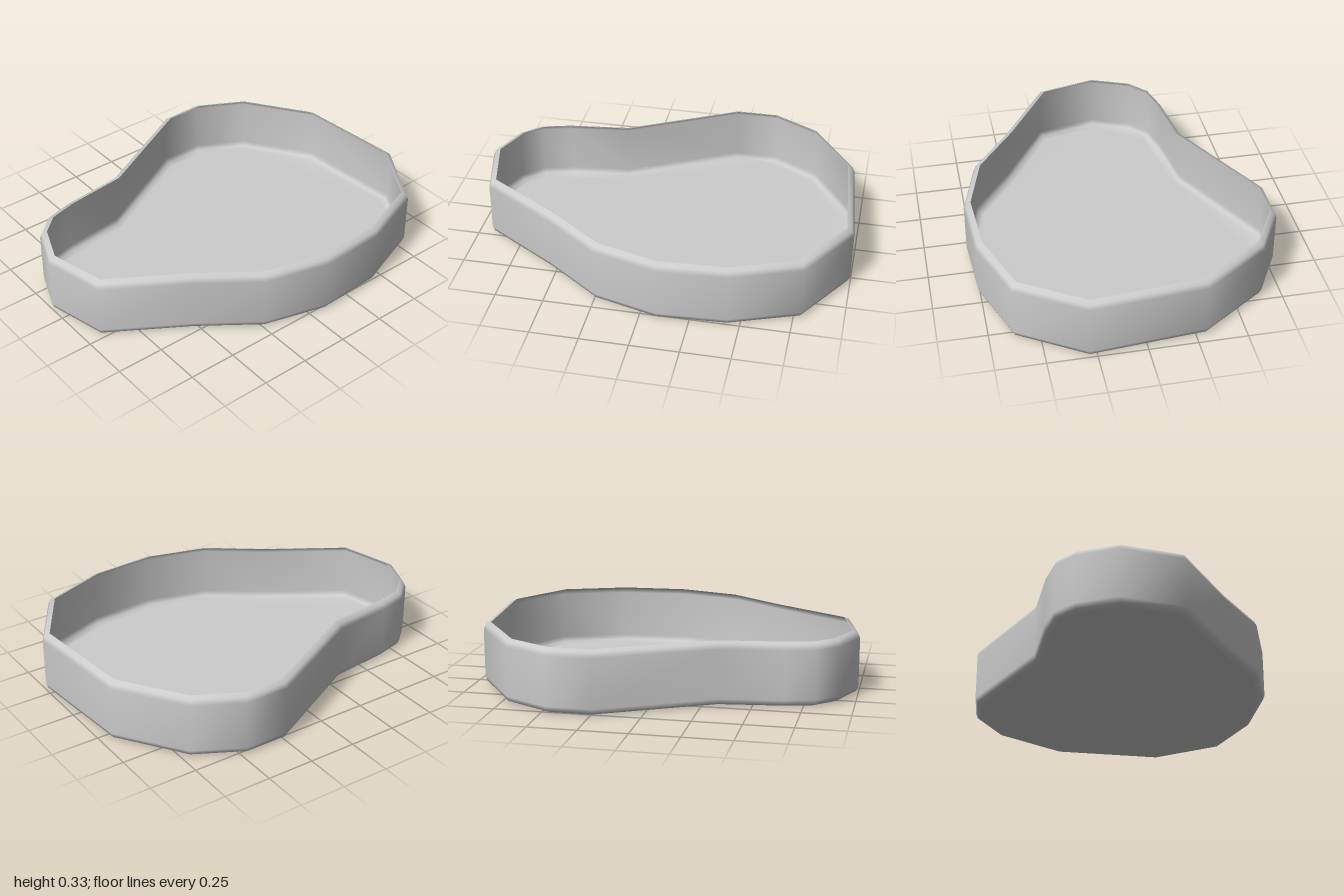
import * as THREE from 'three';

// Plan outline as [x, z], running clockwise seen from above
const OUTLINE = [
  [0.29, -1.0], [0.63, -0.79], [0.76, -0.44], [0.78, -0.085],
  [0.69, 0.245], [0.48, 0.53], [0.23, 0.925], [-0.09, 1.0],
  [-0.3, 0.915], [-0.395, 0.81], [-0.435, 0.655], [-0.475, 0.335],
  [-0.78, -0.24], [-0.78, -0.47], [-0.647, -0.715], [-0.303, -0.95],
].map(([x, z]) => new THREE.Vector2(x, z));

// Wall section from floor edge to rim as [inset, height]
const SECTION = [
  [0.037, 0], [0.011, 0.011], [0, 0.037],
  [0, 0.293], [0.011, 0.319], [0.037, 0.33],
];

// Move every outline corner inwards by the same wall distance (mitred)
function insetOutline(points, inset) {
  const n = points.length;
  const normal = (a, b) => new THREE.Vector2(b.y - a.y, a.x - b.x).normalize();
  return points.map((p, i) => {
    const n1 = normal(points[(i + n - 1) % n], p);
    const n2 = normal(p, points[(i + 1) % n]);
    const miter = n1.clone().add(n2).divideScalar(1 + n1.dot(n2));
    return p.clone().addScaledVector(miter, -inset);
  });
}

// Thin open shell: floor plus rounded wall, with shared smooth normals
function shellGeometry() {
  const n = OUTLINE.length;
  const positions = [];
  const index = [];
  SECTION.forEach(([inset, y]) => {
    insetOutline(OUTLINE, inset).forEach((p) => positions.push(p.x, y, p.y));
  });
  for (let k = 0; k < SECTION.length - 1; k++) {
    for (let i = 0; i < n; i++) {
      const a = k * n + i;
      const b = k * n + (i + 1) % n;
      index.push(a, a + n, b, b, a + n, b + n);
    }
  }
  const floor = insetOutline(OUTLINE, SECTION[0][0]);
  THREE.ShapeUtils.triangulateShape(floor, []).forEach((t) => index.push(...t));

  const geometry = new THREE.BufferGeometry();
  geometry.setAttribute('position', new THREE.Float32BufferAttribute(positions, 3));
  geometry.setIndex(index);
  geometry.computeVertexNormals();
  return geometry;
}

export function createModel() {
  const group = new THREE.Group();
  group.name = 'tray';
  const grey = new THREE.MeshStandardMaterial({ color: 0xcccccc, side: THREE.DoubleSide });
  grey.name = 'light grey';
  const shell = new THREE.Mesh(shellGeometry(), grey);
  shell.name = 'trayShell';
  group.add(shell);
  return group;
}
